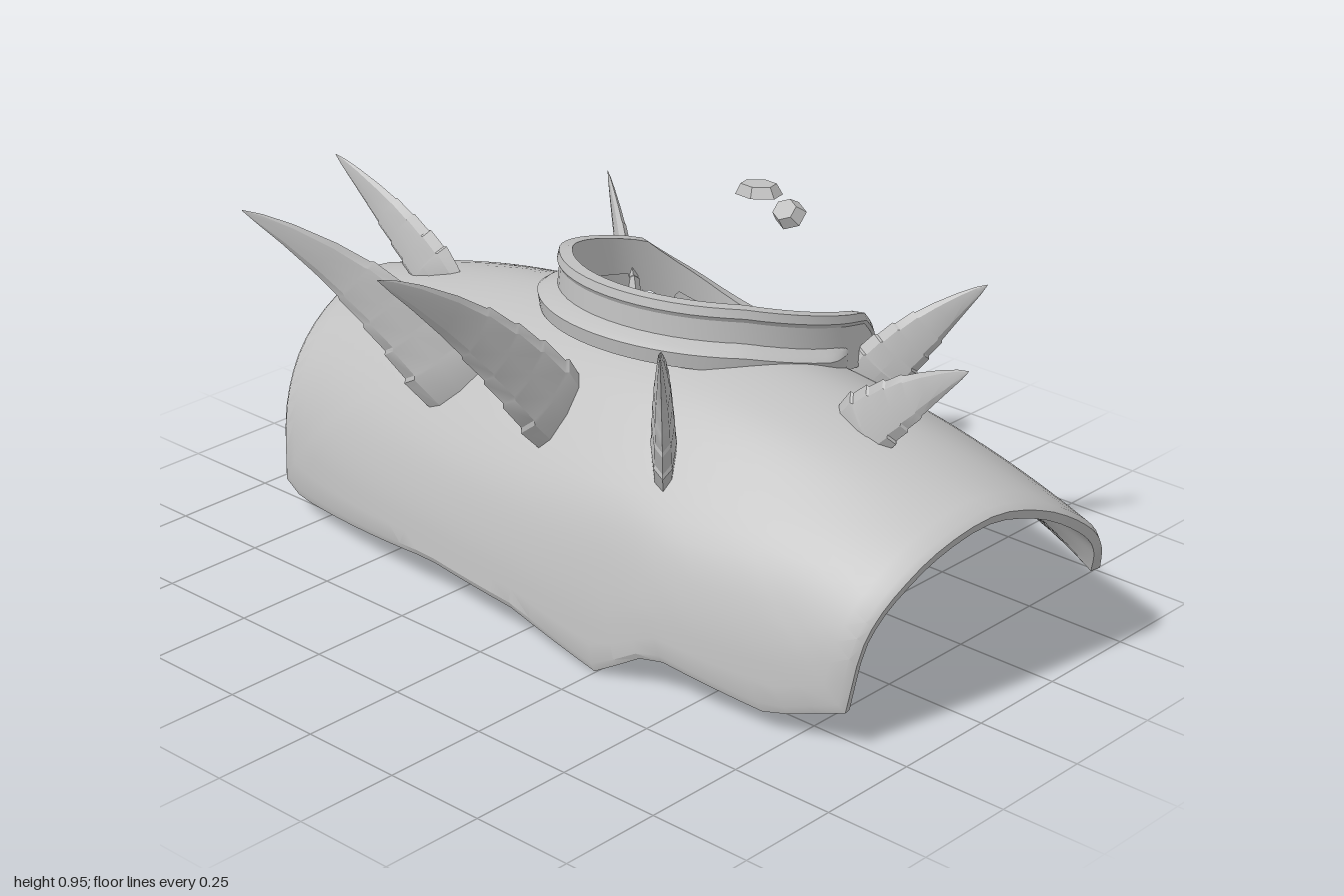
import * as THREE from 'three';
import { toCreasedNormals } from 'three/addons/utils/BufferGeometryUtils.js';

const grey = new THREE.MeshStandardMaterial({ color: 0xc0c0c0, side: THREE.DoubleSide });
grey.name = 'plain grey';
const V = (x, y, z) => new THREE.Vector3(x, y, z);
const { lerp, clamp } = THREE.MathUtils;

// Piecewise linear lookup in a short list of [key, value] pairs
function table(pairs, k) {
  if (k <= pairs[0][0]) return pairs[0][1];
  for (let i = 1; i < pairs.length; i++) {
    const [a, va] = pairs[i - 1], [b, vb] = pairs[i];
    if (k <= b) return lerp(va, vb, (k - a) / (b - a));
  }
  return pairs[pairs.length - 1][1];
}

// Skins a list of cross-sections
function loft(sections, loopSections, loopPoints, crease = 0.6) {
  const pos = [], idx = [], n = sections[0].length, m = sections.length;
  sections.forEach(s => s.forEach(p => pos.push(p.x, p.y, p.z)));
  for (let i = 0; i < (loopSections ? m : m - 1); i++) {
    for (let j = 0; j < (loopPoints ? n : n - 1); j++) {
      const i2 = (i + 1) % m, j2 = (j + 1) % n;
      const a = i * n + j, b = i * n + j2, c = i2 * n + j2, d = i2 * n + j;
      idx.push(a, b, c, a, c, d);
    }
  }
  const g = new THREE.BufferGeometry();
  g.setAttribute('position', new THREE.Float32BufferAttribute(pos, 3));
  g.setIndex(idx);
  return toCreasedNormals(g, crease);
}

// Arch outlines as [z, y], from the front hem over the top to the back hem
const arch = pts => new THREE.CatmullRomCurve3(pts.map(([z, y]) => V(0, y, z)));
const middleArch = arch([[0.41, 0.07], [0.39, 0.2], [0.34, 0.34], [0.24, 0.47], [0.1, 0.59],
  [-0.08, 0.63], [-0.28, 0.56], [-0.46, 0.43], [-0.61, 0.29], [-0.73, 0.19]]);
const endArch = arch([[0.3, 0.07], [0.27, 0.25], [0.2, 0.36], [0.08, 0.44], [-0.08, 0.475],
  [-0.22, 0.44], [-0.34, 0.37], [-0.42, 0.3], [-0.46, 0.23], [-0.49, 0.17]]);
const halfWidth = [[0, 0.87], [0.15, 0.9], [0.33, 0.94], [0.5, 0.98], [0.62, 1], [0.85, 0.98], [1, 0.95]];
const frontHem = [[-0.88, 0], [-0.8, -0.02], [-0.27, 0.025], [0, 0], [0.25, -0.07], [0.4, 0.02], [0.7, -0.03], [0.86, 0.02]];
const backHem = [[-0.95, 0], [-0.7, 0.05], [-0.6, 0.03], [-0.45, 0], [-0.25, 0], [-0.1, -0.02], [0, 0.05], [0.08, 0.01], [0.2, -0.02], [0.5, -0.01], [0.95, 0]];

function shellPoint(u, v) {
  const along = clamp(v, 0, 1), w = Math.abs(u) ** 2.3;
  const p = middleArch.getPoint(along).lerp(endArch.getPoint(along), w);
  p.x = u * table(halfWidth, v);
  p.y += table(frontHem, p.x) * clamp(1 - v * 4, 0, 1);
  if (u > 0) p.y -= 0.02 * w * Math.sin(along * Math.PI);
  p.z += table(backHem, p.x) * clamp((v - 0.85) / 0.15, 0, 1);
  return p;
}

function shellInner(u, v, depth) {
  const e = 0.02;
  const du = shellPoint(u + e, v).sub(shellPoint(u - e, v));
  const dv = shellPoint(u, Math.min(v + e, 1)).sub(shellPoint(u, Math.max(v - e, 0)));
  return shellPoint(u, v).addScaledVector(du.cross(dv).normalize(), -depth);
}

// Thick arched shell with a bevelled hem, spread from the neck hole outwards
function shellGeometry() {
  const side = 28, steps = 16, vc = 6 / 9, ru = 0.35, rv = 0.2, sections = [];
  const corners = [[-1, 0], [1, 0], [1, 1], [-1, 1]];
  for (let c = 0; c < 4; c++) {
    for (let i = 0; i < side; i++) {
      const [u0, v0] = corners[c], [u1, v1] = corners[(c + 1) % 4];
      const bu = lerp(u0, u1, i / side), bv = lerp(v0, v1, i / side);
      const dir = new THREE.Vector2(bu / ru, (bv - vc) / rv).normalize();
      const outer = [], inner = [];
      for (let k = 0; k <= steps; k++) {
        const t = k / steps, to = t * 0.975;
        outer.push(shellPoint(lerp(dir.x * ru, bu, to), lerp(vc + dir.y * rv, bv, to)));
        inner.unshift(shellInner(lerp(dir.x * ru, bu, t), lerp(vc + dir.y * rv, bv, t), 0.03));
      }
      sections.push([...outer, shellInner(bu, bv, 0.008), ...inner]);
    }
  }
  return loft(sections, true, true, 0.5);
}

// Neck ring: the rim height falls away towards the back, and the wall gets lower
const rimHeight = [[-0.62, 0.4], [-0.5, 0.53], [-0.38, 0.635], [-0.2, 0.685], [-0.05, 0.725], [0.08, 0.74]];
const wallScale = [[-0.62, 0.5], [-0.4, 0.85], [-0.2, 1]];
const neckZ = -0.27;
function neckPoint(a, r, dy) {
  const z = neckZ + Math.sin(a) * 0.345;
  return V(Math.cos(a) * (0.35 + r), table(rimHeight, z) + dy * table(wallScale, z), neckZ + Math.sin(a) * (0.345 + r));
}
function neckBand(a0, a1, profile, closed) {
  const n = 56, sections = [];
  for (let i = 0; i < (closed ? n : n + 1); i++) {
    const a = lerp(a0, a1, i / n);
    const reach = closed ? 1 : Math.min(1, 0.2 + 10 * Math.min(i, n - i) / n);
    sections.push(profile.map(([r, dy]) => neckPoint(a, r * reach, dy)));
  }
  return loft(sections, closed, true, 0.5);
}

// One bowl panel: steep below the rim, then a gently sloping floor.
// Rim angles narrower than inner ones leave a torn gap.
const bowlDrop = [[0, 1], [0.5, 0.84], [0.8, 0.7], [0.89, 0.6], [0.95, 0.4], [1, 0]];
function bowlPanel(rim, inner) {
  const sections = [];
  for (let i = 0; i <= 24; i++) {
    const row = [];
    for (let k = 0; k <= 12; k++) {
      const t = k / 12, open = Math.min(t * 1.5, 1);
      const a = Math.PI * lerp(lerp(rim[0], inner[0], open), lerp(rim[1], inner[1], open), i / 24);
      const p = neckPoint(a, -0.035, -0.09), s = Math.cos(t * Math.PI / 2);
      row.push(V(p.x * s, lerp(p.y, 0.28, table(bowlDrop, s)), lerp(-0.41, p.z, s)));
    }
    sections.push(row);
  }
  return loft(sections, false, false, 0.7);
}

// Flat, stepped horn curving from base to tip, with a blunt root inside the shell
function hornGeometry(base, tip, width, bend) {
  const mid = base.clone().lerp(tip, 0.5);
  const away = V(tip.x - base.x, 0, tip.z - base.z).normalize();
  mid.y += bend;
  mid.addScaledVector(away, -bend * 0.6);
  const path = new THREE.QuadraticBezierCurve3(base, mid, tip);
  const flat = V(0, 1, 0).cross(away).normalize();
  const size = s => (1 - s) ** 0.75;
  const rings = [[0, 0.9]];
  [0.12, 0.25, 0.38, 0.52].forEach(s => rings.push([s, size(s) * 1.1], [s + 0.012, size(s)]));
  rings.push([0.66, size(0.66) * 1.02], [0.82, size(0.82)], [0.93, size(0.93)], [1, 0.01]);
  const ringAt = (c, s, k) => {
    const across = path.getTangent(s).cross(flat).normalize();
    return Array.from({ length: 8 }, (_, j) => {
      const a = j / 8 * Math.PI * 2;
      return c.clone().addScaledVector(across, Math.cos(a) * width * k)
        .addScaledVector(flat, Math.sin(a) * width * 0.3 * k);
    });
  };
  const root = base.clone().addScaledVector(path.getTangent(0), -0.11);
  const sections = rings.map(([s, k]) => ringAt(path.getPoint(s), s, k));
  sections.unshift(ringAt(root, 0, 0.01), ringAt(root, 0, 0.5));
  return loft(sections, false, true, 0.5);
}

export function createModel() {
  const model = new THREE.Group();
  model.name = 'spikedShoulderArmour';
  const add = (name, geometry) => {
    const mesh = new THREE.Mesh(geometry, grey);
    mesh.name = name;
    model.add(mesh);
    return mesh;
  };

  add('archedShell', shellGeometry());
  add('neckCollar', neckBand(0, Math.PI * 2,
    [[0.02, -0.14], [0.01, -0.03], [0.015, -0.02], [0.01, 0], [-0.02, 0], [-0.03, -0.14]], true));
  add('collarFlange', neckBand(-0.12, Math.PI + 0.12,
    [[0, -0.075], [0.045, -0.085], [0.06, -0.095], [0.055, -0.13], [0, -0.13]], false));

  // Torn inner bowl: a whole front and two panels behind (angles in half turns)
  add('bowlFront', bowlPanel([-0.04, 1.04], [-0.08, 1.08]));
  add('bowlBackRight', bowlPanel([1.18, 1.48], [1.08, 1.52]));
  add('bowlBackLeft', bowlPanel([1.56, 1.86], [1.52, 1.92]));

  // Horns: base, tip, half width, bend
  [
    ['frontHorn', [-0.02, 0.46, 0.21], [-0.02, 0.945, 0.75], 0.1, 0.06],
    ['leftFrontHorn', [0.28, 0.45, 0.21], [0.58, 0.89, 0.55], 0.095, 0.07],
    ['rightFrontHorn', [-0.33, 0.45, 0.23], [-0.64, 0.89, 0.58], 0.095, 0.07],
    ['leftSideHorn', [0.6, 0.53, -0.045], [0.92, 0.78, -0.01], 0.08, 0.02],
    ['rightSideHorn', [-0.67, 0.53, -0.045], [-0.99, 0.78, -0.01], 0.08, 0.02],
    ['leftBackHorn', [0.37, 0.48, -0.37], [0.57, 0.72, -0.53], 0.078, 0.02],
    ['rightBackHorn', [-0.32, 0.48, -0.33], [-0.55, 0.72, -0.49], 0.078, 0.02],
  ].forEach(([name, b, t, w, bend]) => add(name, hornGeometry(V(...b), V(...t), w, bend)));

  // Broken bits: position, size, rotation
  const bit = (name, p, s, r) => {
    const geometry = new THREE.CylinderGeometry(0.38, 0.5, 1, 6).toNonIndexed();
    geometry.computeVertexNormals();
    const m = add(name, geometry);
    m.position.set(...p);
    m.scale.set(...s);
    m.rotation.set(...r);
  };
  bit('looseShard', [-0.055, 0.803, -0.475], [0.12, 0.026, 0.08], [0, 0.2, 0.06]);
  bit('looseShard', [-0.03, 0.73, -0.55], [0.09, 0.03, 0.075], [0.8, 0, 0.1]);
  bit('backShard', [-0.03, 0.19, -0.69], [0.12, 0.04, 0.08], [-0.5, 0.4, 0]);
  bit('backShard', [-0.13, 0.26, -0.65], [0.04, 0.03, 0.18], [-0.7, -0.6, 0]);
  bit('backShard', [0.02, 0.23, -0.68], [0.08, 0.03, 0.06], [-0.7, 0.5, 0.2]);
  [-0.04, 0.02, 0.07, 0.12, 0.19].forEach((x, i) =>
    bit('collarTooth', [x, 0.61, -0.005 - i * 0.008], [0.045, 0.06, 0.05], [0.4, i, 0.3 - i * 0.2]));
  [-1, 1].forEach(s => bit('collarSlat', [s * 0.27, 0.5, -0.26], [0.03, 0.04, 0.2], [-0.4, s * 0.3, 0]));
  return model;
}
